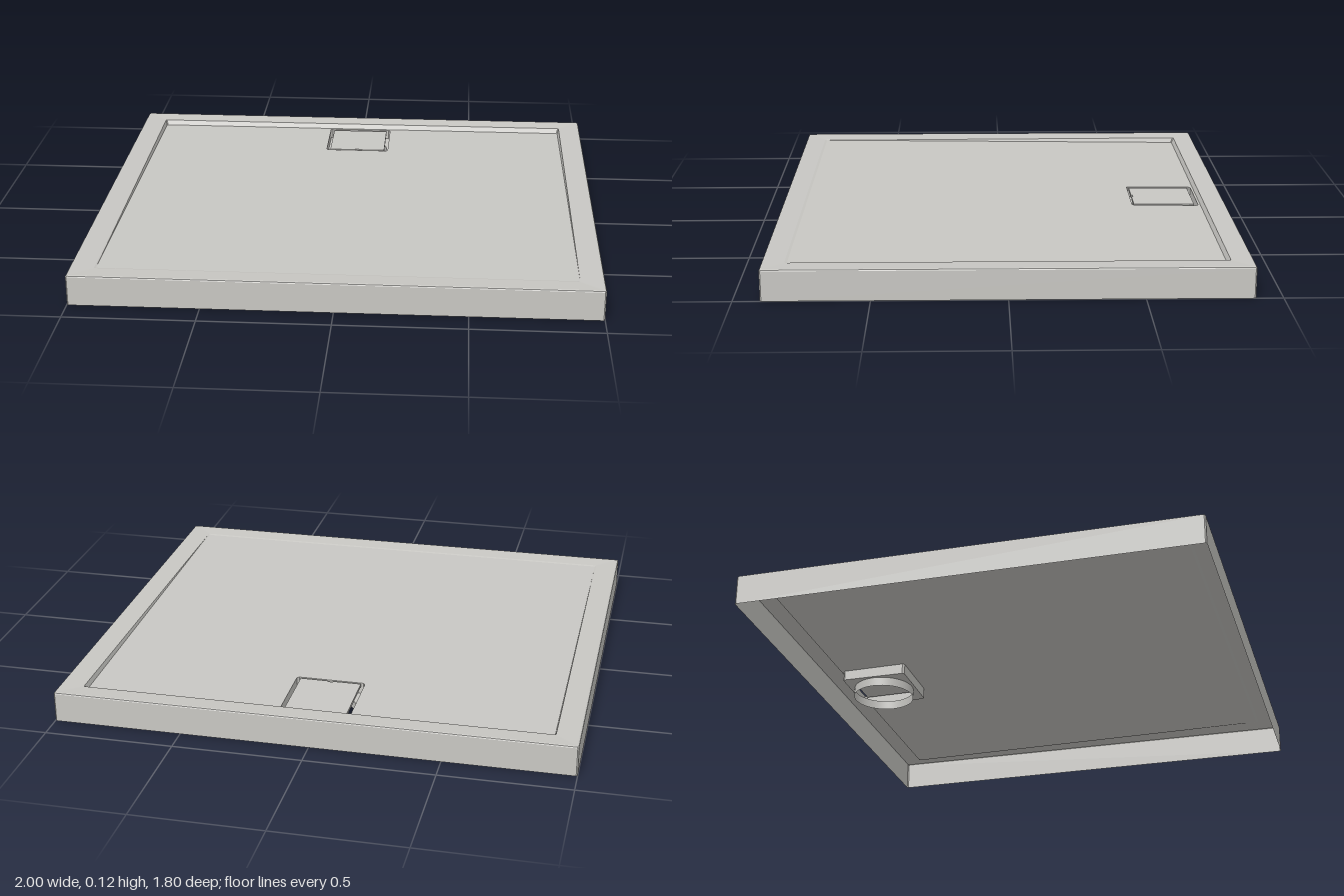
import * as THREE from 'three';

const grey = new THREE.MeshStandardMaterial({ color: 0xc8c7c3, side: THREE.DoubleSide });
grey.name = 'stone grey';

const DRAIN_Z = -0.663;
// Floor falls gently from front to back
const floorY = (z) => 0.1045 + 0.0115 * z;

// Rectangle with slightly cut corners, as [x, z] points
function outline(halfX, halfZ, cut, cz = 0) {
  const points = [];
  for (const [sx, sz] of [[1, 1], [1, -1], [-1, -1], [-1, 1]]) {
    const a = [sx * halfX, cz + sz * (halfZ - cut)];
    const b = [sx * (halfX - cut), cz + sz * halfZ];
    points.push(...(sx * sz > 0 ? [b, a] : [a, b]));
  }
  return points;
}

// Crisp faceted skin joining successive outlines; height is a number or a rule of z
function skin(rings) {
  const loops = rings.map(({ pts, y }) =>
    pts.map(([x, z]) => [x, typeof y === 'function' ? y(z) : y, z]));
  const pos = [];
  for (let i = 0; i < loops.length - 1; i++) {
    const lo = loops[i], hi = loops[i + 1], n = lo.length;
    for (let j = 0; j < n; j++) {
      const k = (j + 1) % n;
      pos.push(...lo[j], ...lo[k], ...hi[k], ...lo[j], ...hi[k], ...hi[j]);
    }
  }
  const g = new THREE.BufferGeometry();
  g.setAttribute('position', new THREE.Float32BufferAttribute(pos, 3));
  g.computeVertexNormals();
  return g;
}

const toShape = (pts) => new THREE.Shape(pts.map(([x, z]) => new THREE.Vector2(x, -z)));

export function createModel() {
  const model = new THREE.Group();
  model.name = 'showerTray';
  const add = (name, geometry) => {
    const mesh = new THREE.Mesh(geometry, grey);
    mesh.name = name;
    model.add(mesh);
    return mesh;
  };

  const floorEdge = outline(0.902, 0.808, 0.004);
  const wellEdge = outline(0.136, 0.136, 0.008, DRAIN_Z);

  // Outer walls, softened top edge, rim and the step down to the floor
  add('rim', skin([
    { pts: outline(1, 0.9, 0.005), y: 0 },
    { pts: outline(1, 0.9, 0.005), y: 0.114 },
    { pts: outline(0.998, 0.898, 0.005), y: 0.118 },
    { pts: outline(0.993, 0.893, 0.005), y: 0.12 },
    { pts: outline(0.908, 0.817, 0.004), y: 0.116 },
    { pts: floorEdge, y: floorY },
  ]));

  // Sloping floor with the drain opening
  const floorShape = toShape(floorEdge);
  floorShape.holes.push(toShape(wellEdge));
  const floor = new THREE.ShapeGeometry(floorShape).rotateX(-Math.PI / 2);
  const p = floor.attributes.position;
  for (let i = 0; i < p.count; i++) p.setY(i, floorY(p.getZ(i)));
  floor.computeVertexNormals();
  add('floor', floor);

  // Sunken drain well: side walls and a base with a round outlet
  add('drainWellWalls', skin([
    { pts: wellEdge, y: 0.055 },
    { pts: wellEdge, y: floorY },
  ]));
  const baseShape = toShape(wellEdge);
  baseShape.holes.push(new THREE.Path().absarc(0, -DRAIN_Z, 0.125, 0, Math.PI * 2, true));
  add('drainWellBase', new THREE.ShapeGeometry(baseShape, 32).rotateX(-Math.PI / 2))
    .position.y = 0.055;

  // Outlet collar below the well
  add('drainCollar', new THREE.CylinderGeometry(0.125, 0.125, 0.037, 64, 1, true))
    .position.set(0, 0.0365, DRAIN_Z);

  // Square cover lying flush with the floor, with a finger notch at the front
  const coverShape = toShape([
    [-0.12, 0.124], [-0.012, 0.124], [-0.008, 0.118], [0.008, 0.118], [0.012, 0.124],
    [0.12, 0.124], [0.12, -0.124], [-0.12, -0.124],
  ]);
  const cover = add('drainCover', new THREE.ExtrudeGeometry(coverShape, {
    depth: 0.012, bevelEnabled: false,
  }).rotateX(-Math.PI / 2));
  cover.position.set(0, floorY(DRAIN_Z) - 0.012, DRAIN_Z + 0.004);
  cover.rotation.x = -0.0115;

  return model;
}
